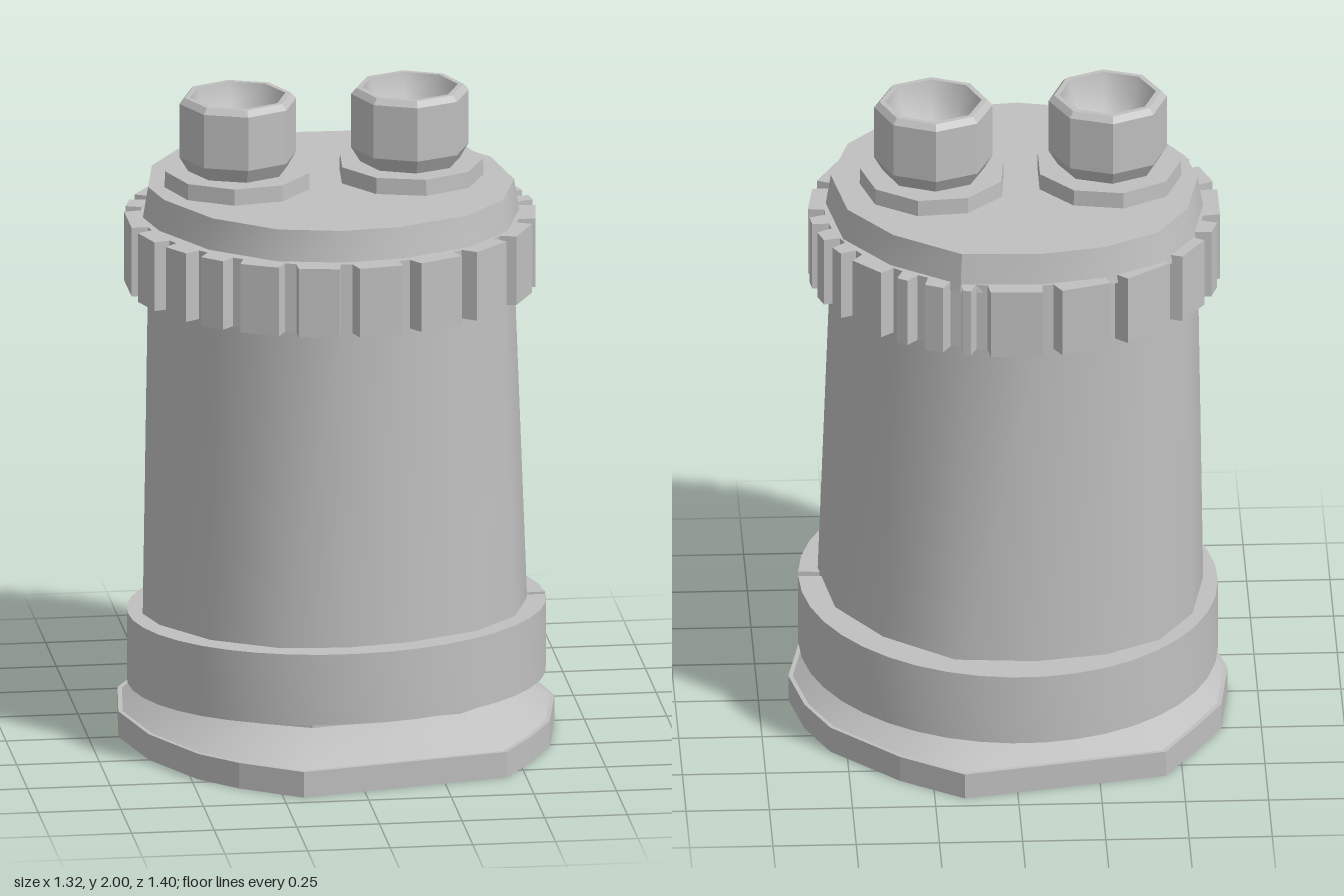
import * as THREE from 'three';
import { mergeGeometries, toCreasedNormals } from 'three/addons/utils/BufferGeometryUtils.js';

// Rounded outline shared by the body and the lid, as [x, z]
const BODY = [[-0.07, -0.51], [0.16, -0.5], [0.36, -0.36], [0.49, -0.18], [0.53, 0.06], [0.47, 0.27],
  [0.34, 0.42], [0.13, 0.51], [-0.05, 0.53], [-0.24, 0.49], [-0.42, 0.35], [-0.54, 0.14],
  [-0.57, 0], [-0.53, -0.22], [-0.43, -0.38], [-0.27, -0.47]];

// Foot plate outline with four blunt corners, as [x, z]
const FOOT = [[-0.45, -0.57], [0.16, -0.7], [0.35, -0.57], [0.55, -0.36], [0.62, -0.2], [0.66, 0],
  [0.61, 0.27], [0.53, 0.43], [0.44, 0.57], [-0.19, 0.7], [-0.37, 0.58], [-0.48, 0.47],
  [-0.6, 0.25], [-0.66, 0], [-0.63, -0.25], [-0.55, -0.4]];

// Notch positions around the collar, in degrees
const NOTCHES = [-169, -157, -139, -118, -98, -78, -70, -59, -50, -33, -23, -12, -2, 17, 36, 55, 74,
  92, 109, 126, 139, 153, 169];

const ring = (outline, y, sx = 1, sz = sx, dx = 0) => outline.map(([x, z]) => [x * sx + dx, y, z * sz]);

const polygon = (r, y, sides, phase) => Array.from({ length: sides }, (_, i) => {
  const a = phase + (i / sides) * Math.PI * 2;
  return [r * Math.cos(a), y, r * Math.sin(a)];
});

// Skin a stack of rings; edges sharper than the crease angle stay hard
function loft(rings, { bottom = true, top = true, crease = 0.1 } = {}) {
  const n = rings[0].length;
  const pos = rings.flat(2);
  const idx = [];
  for (let r = 0; r < rings.length - 1; r++) {
    for (let i = 0; i < n; i++) {
      const a = r * n + i, b = r * n + (i + 1) % n;
      idx.push(a, a + n, b, b, a + n, b + n);
    }
  }
  const last = (rings.length - 1) * n;
  for (let i = 1; i < n - 1; i++) {
    if (bottom) idx.push(0, i, i + 1);
    if (top) idx.push(last, last + i + 1, last + i);
  }
  const g = new THREE.BufferGeometry();
  g.setAttribute('position', new THREE.Float32BufferAttribute(pos, 3));
  g.setIndex(idx);
  return toCreasedNormals(g, crease);
}

// Extrude a plan outline drawn in x and z between two heights
function slab(points, y0, y1, crease) {
  const shape = new THREE.Shape(points.map(([x, z]) => new THREE.Vector2(x, z)));
  const g = new THREE.ExtrudeGeometry(shape, { depth: y1 - y0, bevelEnabled: false });
  g.rotateX(Math.PI / 2).translate(0, y1, 0);
  return toCreasedNormals(g, crease);
}

export function createModel() {
  const model = new THREE.Group();
  const grey = new THREE.MeshStandardMaterial({ color: 0xc0c0c0 });
  grey.name = 'grey';
  const add = (name, geometry, x = 0, z = 0) => {
    const mesh = new THREE.Mesh(geometry, grey);
    mesh.name = name;
    mesh.position.set(x, 0, z);
    model.add(mesh);
  };

  // Foot plate and the sloping neck above it
  add('footPlate', loft([ring(FOOT, 0), ring(FOOT, 0.08)]));
  const neck = FOOT.map(([x, z]) => {
    const s = 0.53 / Math.hypot(x, z);
    return [x * s, 0.16, z * s];
  });
  add('neck', loft([ring(FOOT, 0.08, 0.98), neck, neck.map(([x, , z]) => [x, 0.3, z])],
    { bottom: false, crease: 0.5 }));

  // Split clamp band, slightly tilted
  const band = [];
  const arc = (r, a0, a1) => {
    for (let i = 0; i <= 40; i++) {
      const a = a0 + (a1 - a0) * i / 40;
      band.push([r * Math.cos(a), r * Math.sin(a)]);
    }
  };
  const gapStart = 0.015, gapEnd = 0.06;
  arc(0.63, gapEnd, Math.PI * 2 + gapStart);
  arc(0.5, Math.PI * 2 + gapStart, gapEnd);
  const bandGeometry = slab(band, 0.175, 0.395, 0.5);
  const p = bandGeometry.attributes.position;
  for (let i = 0; i < p.count; i++) {
    p.setY(i, p.getY(i) + 0.045 * p.getZ(i) + 0.02 * p.getX(i));
  }
  add('clampBand', bandGeometry);

  // Tapered body and lid
  add('body', loft([ring(BODY, 0.2, 1.06, 1.04, 0.015), ring(BODY, 1.45)], { crease: 0.7 }));
  add('lid', loft([ring(BODY, 1.6, 1.035), ring(BODY, 1.72)], { crease: 0.5 }));

  // Notched grip collar
  const collar = NOTCHES.flatMap((deg) => [[-3, 1], [-1.5, 0.92], [2, 0.92], [2.6, 1]].map(([d, s]) => {
    const a = THREE.MathUtils.degToRad(deg + d);
    return [-0.02 + 0.62 * s * Math.cos(a), 0.017 + 0.597 * s * Math.sin(a)];
  }));
  add('gripCollar', slab(collar, 1.41, 1.625, 0.1));

  // Two hollow studs on washers
  const studs = [
    { side: 'right', x: -0.3, z: 0.01, nut: -1.62, washer: Math.PI },
    { side: 'left', x: 0.225, z: -0.02, nut: -1.57, washer: 0.08 },
  ];
  for (const s of studs) {
    const rings = (profile) => profile.map(([r, y]) => polygon(r, y, 8, s.nut));
    add(s.side + 'Washer', loft([polygon(0.222, 1.7, 9, s.washer), polygon(0.22, 1.77, 9, s.washer)]), s.x, s.z);
    const shell = loft(rings([[0.145, 1.76], [0.178, 1.815], [0.178, 1.982], [0.162, 2], [0.145, 2]]), { top: false });
    const bowl = loft(rings([[0.145, 2], [0.13, 1.94], [0.09, 1.89], [0.03, 1.87]]), { bottom: false, crease: 1.2 });
    add(s.side + 'Stud', mergeGeometries([shell, bowl]), s.x, s.z);
  }
  return model;
}
